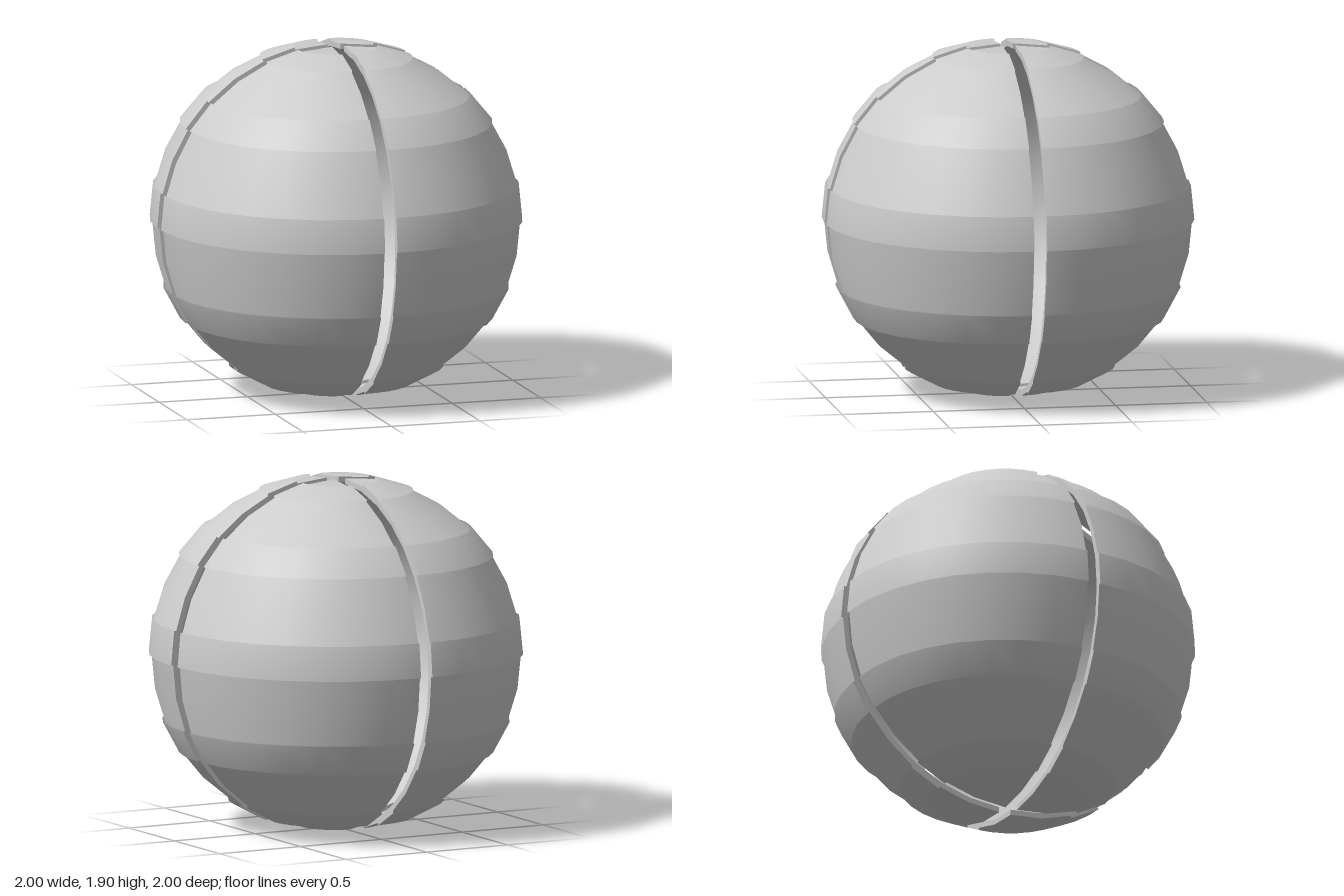
import * as THREE from 'three';

const R = 0.9525;      // sphere radius
const GAP = 0.035;     // half width of the slots
const LIP = 0.0125;    // how far the bands stand out
const WALL = 0.03;     // shell thickness
const ROWS = 16;

// Closed half profile: outside from bottom to top, then inside back down
function shellProfile() {
  const points = [];
  const add = (row, r) => {
    const a = -Math.PI / 2 + (row * Math.PI) / ROWS;
    points.push(new THREE.Vector2(Math.max(0, r * Math.cos(a)), r * Math.sin(a)));
  };
  for (let row = 0; row <= ROWS; row++) {
    const bandStart = row % 3 === 2 && row < ROWS - 1;
    const bandEnd = row % 3 === 0 && row > 0;
    if (bandStart) { add(row, R); add(row, R + LIP); }      // underside of a raised band
    else if (bandEnd) { add(row, R + LIP); add(row, R); }   // top of a raised band
    else add(row, R);
  }
  for (let row = ROWS; row >= 0; row--) add(row, R - WALL);
  return points;
}

export function createModel() {
  const model = new THREE.Group();
  model.name = 'slottedSphere';
  const grey = new THREE.MeshStandardMaterial({ color: 0xcccccc });
  const thin = new THREE.MeshStandardMaterial({ color: 0xcccccc, side: THREE.DoubleSide });

  const profile = shellProfile();
  const shellGeometry = new THREE.LatheGeometry(profile, 8, 0, Math.PI / 2);
  const edgeGeometry = new THREE.ShapeGeometry(new THREE.Shape(profile));

  // Four banded quarter shells pushed apart to leave the crossing slots
  for (let i = 0; i < 4; i++) {
    const quarter = new THREE.Group();
    quarter.name = 'quarterShell' + (i + 1);

    const shell = new THREE.Mesh(shellGeometry, grey);
    shell.name = 'bandedShell';
    quarter.add(shell);

    // Flat cut faces along the slots
    for (const turn of [0, -Math.PI / 2]) {
      const edge = new THREE.Mesh(edgeGeometry, thin);
      edge.name = 'slotEdge';
      edge.rotation.y = turn;
      quarter.add(edge);
    }

    quarter.rotation.y = (i * Math.PI) / 2;
    quarter.position.set(GAP, R, GAP);
    quarter.position.applyAxisAngle(new THREE.Vector3(0, 1, 0), quarter.rotation.y);
    model.add(quarter);
  }
  return model;
}
